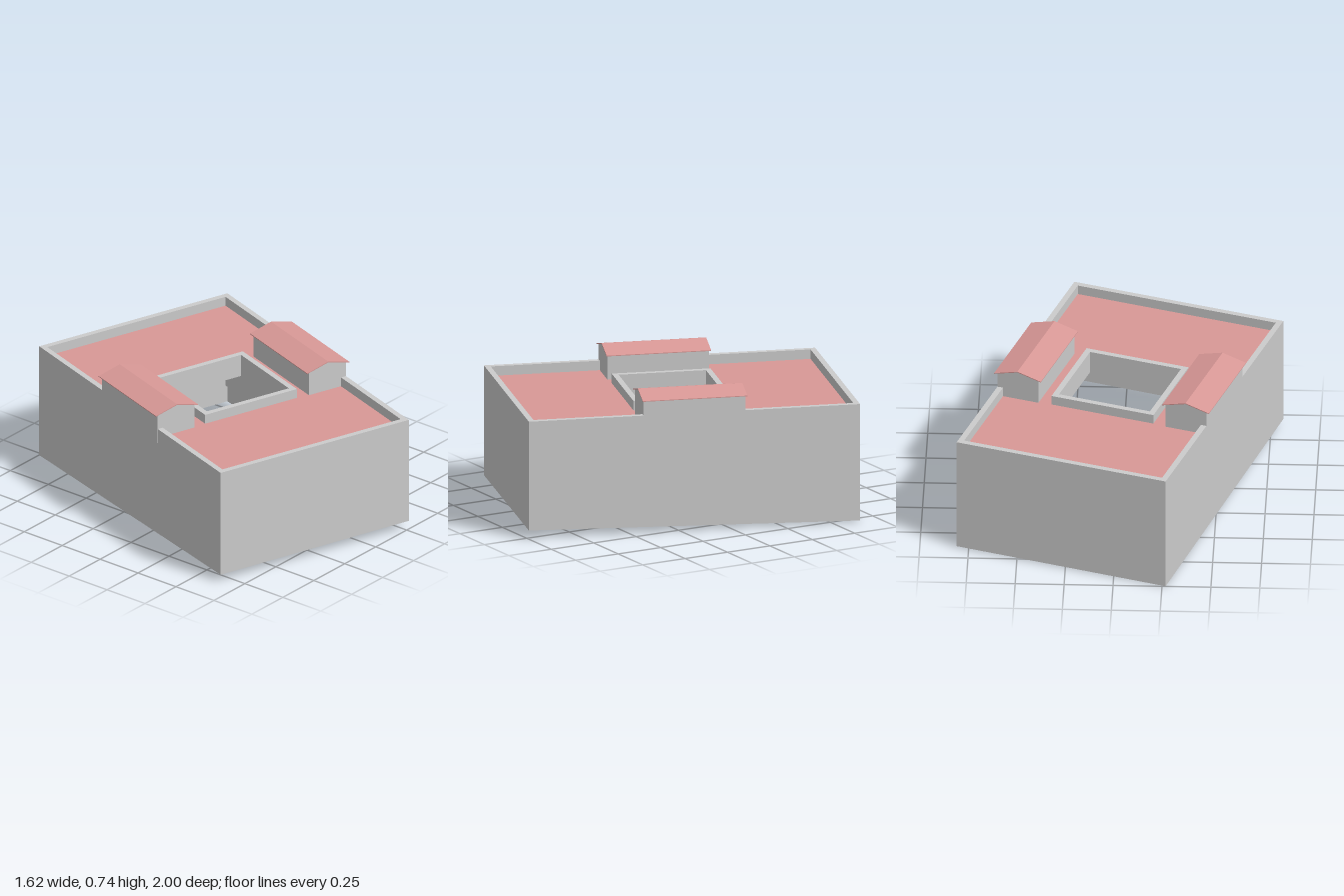
import * as THREE from 'three';

const W = 1.138, L = 1.727;       // outer plan
const T = 0.03;                   // wall thickness
const TOP = 0.62, LEDGE = 0.115;  // parapet top, foot of the thick wall
const SOFFIT = 0.5, DECK = 0.57;  // roof slab
const CW = 0.555, CL = 0.515;     // courtyard curb, outer size

const grey = new THREE.MeshStandardMaterial({ color: 0xcccccc, flatShading: true });
const greyOpen = new THREE.MeshStandardMaterial({ color: 0xcccccc, flatShading: true, side: THREE.DoubleSide });
const red = new THREE.MeshStandardMaterial({ color: 0xd89896, flatShading: true });

function add(parent, name, geometry, material = grey) {
  const mesh = new THREE.Mesh(geometry, material);
  mesh.name = name;
  parent.add(mesh);
  return mesh;
}

function rectangle(w, l, Type = THREE.Shape) {
  return new Type([[-w, -l], [w, -l], [w, l], [-w, l]].map(([x, y]) => new THREE.Vector2(x / 2, y / 2)));
}

// Rectangular frame standing between heights y0 and y1
function frame(w, l, holeW, holeL, y0, y1) {
  const shape = rectangle(w, l);
  shape.holes.push(rectangle(holeW, holeL, THREE.Path));
  return new THREE.ExtrudeGeometry(shape, { depth: y1 - y0, bevelEnabled: false })
    .rotateX(-Math.PI / 2).translate(0, y0, 0);
}

// Profile in x and y, extruded along z and centred
function prism(points, length) {
  const shape = new THREE.Shape(points.map(([x, y]) => new THREE.Vector2(x, y)));
  return new THREE.ExtrudeGeometry(shape, { depth: length, bevelEnabled: false }).translate(0, 0, -length / 2);
}

// Thin open skirt whose lower edge follows the sloping ground
function skirt() {
  const g = new THREE.CylinderGeometry(Math.SQRT1_2, Math.SQRT1_2, 1, 4, 1, true)
    .rotateY(Math.PI / 4).scale(W, 1, L);
  const p = g.attributes.position;
  for (let i = 0; i < p.count; i++) {
    const ground = 0.0225 + 0.0044 * p.getX(i) + 0.0232 * p.getZ(i);
    p.setY(i, p.getY(i) > 0 ? LEDGE : ground);
  }
  g.computeVertexNormals();
  return g;
}

// Gabled rooftop house, flush with the outer wall on one side
function rooftopHouse(side) {
  const house = new THREE.Group();
  house.name = side > 0 ? 'leftRooftopHouse' : 'rightRooftopHouse';
  const half = 0.112, eave = 0.127, ridge = 0.735;
  add(house, 'houseWalls', prism([[-half, DECK - 0.03], [half, DECK - 0.03], [half, 0.702], [0, ridge - 0.004], [-half, 0.702]], 0.53));
  add(house, 'houseRoof', prism([[-eave, 0.697], [0, ridge - 0.005], [eave, 0.697], [eave, 0.701], [0, ridge], [-eave, 0.701]], 0.545), red);
  house.position.x = side * (W / 2 - half + 0.0005);
  return house;
}

export function createModel() {
  const model = new THREE.Group();
  model.name = 'courtyardBuilding';

  // Outer walls
  add(model, 'outerWalls', frame(W, L, W - 2 * T, L - 2 * T, LEDGE, TOP));
  add(model, 'baseSkirt', skirt(), greyOpen);

  // Roof slab and its red deck around the open courtyard
  add(model, 'roofSlab', frame(W - 2 * T, L - 2 * T, CW, CL, SOFFIT, DECK - 0.005));
  add(model, 'roofDeck', frame(W - 2 * T, L - 2 * T, CW, CL, DECK - 0.005, DECK), red);
  add(model, 'courtyardCurb', frame(CW, CL, CW - 2 * T, CL - 2 * T, SOFFIT, TOP));

  for (const side of [1, -1]) model.add(rooftopHouse(side));

  // The building stands turned on its plot
  model.rotation.y = -0.32;
  const root = new THREE.Group();
  root.name = 'building';
  root.add(model);
  return root;
}
